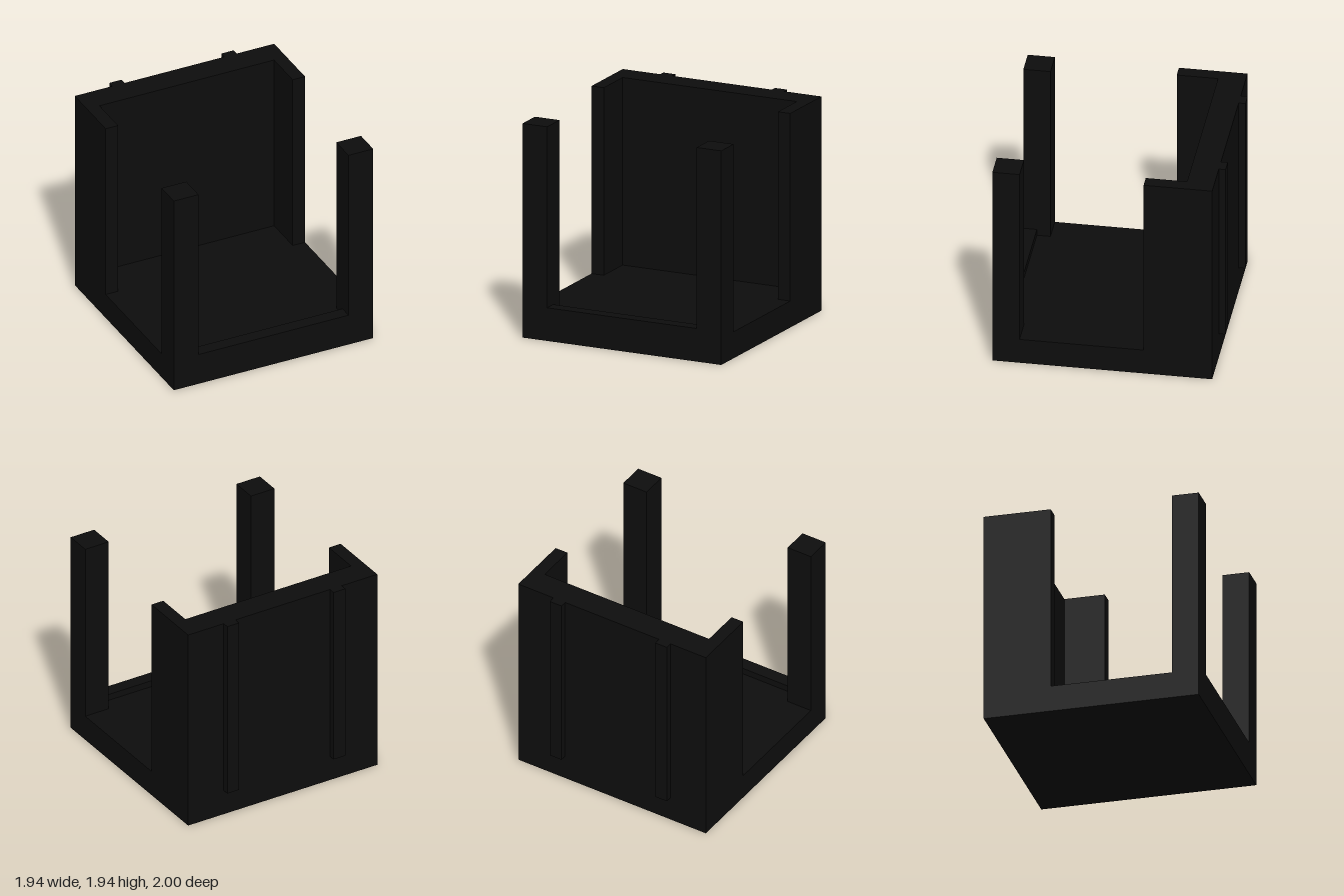
import * as THREE from 'three';

export function createModel() {
  const group = new THREE.Group();
  const black = new THREE.MeshStandardMaterial({ color: 0x0d0d0d });
  black.name = 'matte black';

  // Box given by its minimum and maximum on each axis
  const block = (name, [x0, x1], [y0, y1], [z0, z1]) => {
    const mesh = new THREE.Mesh(new THREE.BoxGeometry(x1 - x0, y1 - y0, z1 - z0), black);
    mesh.position.set((x0 + x1) / 2, (y0 + y1) / 2, (z0 + z1) / 2);
    mesh.name = name;
    group.add(mesh);
  };
  // Mirrored pair of boxes, given for the +x side
  const pair = (name, [x0, x1], y, z) => {
    block('left' + name, [x0, x1], y, z);
    block('right' + name, [-x1, -x0], y, z);
  };

  const W = 0.97, floor = 0.24, top = 1.94, back = -0.94;
  const upright = [floor, top];

  // Floor slab with a low lip between the front posts
  block('base', [-W, W], [0, floor], [back, 1]);
  block('frontLip', [-0.73, 0.73], [floor, 0.3], [0.88, 1]);

  // Back wall, short side walls, front posts and rear ribs
  block('backWall', [-W, W], upright, [back, -0.7]);
  pair('SideWall', [0.85, W], upright, [-0.7, -0.335]);
  pair('FrontPost', [0.73, W], upright, [0.76, 1]);
  pair('BackRib', [0.485, 0.605], upright, [-1, back]);

  return group;
}
